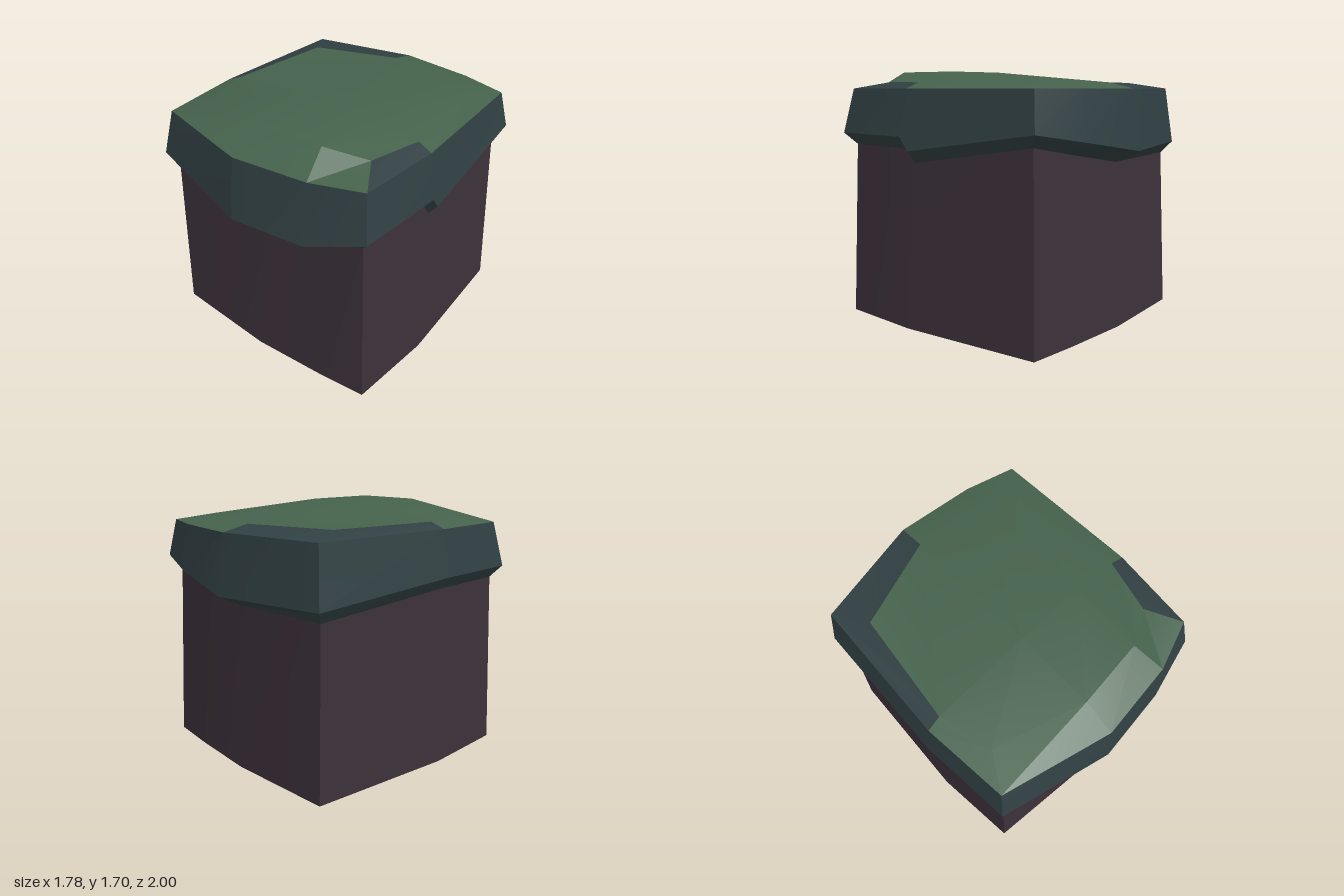
import * as THREE from 'three';
import { toCreasedNormals } from 'three/addons/utils/BufferGeometryUtils.js';

const material = (name, color) => {
  const m = new THREE.MeshStandardMaterial({ color, side: THREE.DoubleSide });
  m.name = name;
  return m;
};

// Skins between two cross-sections; `keep` picks which segments are built.
function band(lower, upper, closed = true, keep = () => true) {
  const out = [];
  const n = lower.length;
  for (let i = 0; i < (closed ? n : n - 1); i++) {
    if (!keep(i)) continue;
    const j = (i + 1) % n;
    out.push(lower[i], lower[j], upper[j], lower[i], upper[j], upper[i]);
  }
  return out;
}

function mesh(name, corners, mat) {
  const g = new THREE.BufferGeometry();
  g.setAttribute('position', new THREE.Float32BufferAttribute(corners.flat(), 3));
  const m = new THREE.Mesh(toCreasedNormals(g, 0.3), mat);
  m.name = name;
  return m;
}

export function createModel() {
  const earth = material('dark earth', 0x3c313a);
  const slate = material('slate teal', 0x314043);
  const moss = material('moss green', 0x45624c);

  // Rings run front left corner -> front right -> back -> left side.
  const foot = [
    [-0.81, 0, 0.8], [-0.05, 0, 0.855], [0.46, 0, 0.83], [0.81, 0, 0.8],
    [0.862, 0, 0.2], [0.86, 0, 0.14], [0.81, 0, -0.82], [0.46, 0, -0.85],
    [-0.05, 0, -0.875], [-0.81, 0, -0.82], [-0.865, 0, 0.19],
  ];
  const neck = [
    [-0.78, 1.2, 0.77], [-0.06, 1.085, 0.81], [0.43, 1.085, 0.79], [0.77, 1.2, 0.77],
    [0.822, 1.2, 0.2], [0.82, 1.11, 0.14], [0.77, 1.25, -0.78], [0.43, 1.19, -0.81],
    [-0.05, 1.11, -0.835], [-0.78, 1.12, -0.78], [-0.83, 1.2, 0.19],
  ];
  const lip = [
    [-0.84, 1.28, 0.83], [-0.06, 1.165, 1.0], [0.46, 1.165, 0.94], [0.84, 1.28, 0.83],
    [0.89, 1.28, 0.21], [0.888, 1.19, 0.14], [0.84, 1.33, -0.84], [0.46, 1.27, -0.94],
    [-0.06, 1.19, -1.0], [-0.84, 1.2, -0.84], [-0.89, 1.28, 0.19],
  ];
  const rim = [
    [-0.79, 1.585, 0.77], [-0.06, 1.585, 0.95], [0.46, 1.585, 0.89], [0.79, 1.585, 0.77],
    [0.84, 1.585, 0.19], [0.838, 1.585, 0.14], [0.79, 1.585, -0.8], [0.46, 1.585, -0.89],
    [-0.06, 1.585, -0.95], [-0.79, 1.585, -0.8], [-0.84, 1.585, 0.19],
  ];

  // Rows of the crown, front to back.
  const front = [[-0.65, 1.63, 0.54], [-0.06, 1.7, 0.73], [0.4, 1.7, 0.68], [0.65, 1.63, 0.54]];
  const middle = [[-0.74, 1.625, 0.18], [-0.06, 1.7, 0.18], [0.42, 1.7, 0.18], [0.74, 1.625, 0.18]];
  const back = [[-0.65, 1.625, -0.57], [-0.06, 1.625, -0.77], [0.42, 1.625, -0.72], [0.65, 1.625, -0.56]];
  const crownEdge = [...front, middle[3], ...[...back].reverse(), middle[0]];
  const rimEdge = rim.filter((_, i) => i !== 5);

  // Shoulder segments where bare stone shows through the moss.
  const bare = (i) => [3, 7, 8].includes(i);

  // Underside of the cap inside the hollow body.
  const centre = neck.map(() => [0, 1.18, 0]);

  const group = new THREE.Group();
  group.name = 'mossyBlock';
  group.add(
    mesh('bodyWalls', band(foot, neck), earth),
    mesh('capUnderside', band(neck, lip), slate),
    mesh('capFloor', band(centre, neck), slate),
    mesh('capBand', band(lip, rim), slate),
    mesh('bareShoulder', band(rimEdge, crownEdge, true, bare), slate),
    mesh('mossTop', [
      ...band(rimEdge, crownEdge, true, (i) => !bare(i)),
      ...band(front, middle, false),
      ...band(middle, back, false),
    ], moss),
  );
  return group;
}
